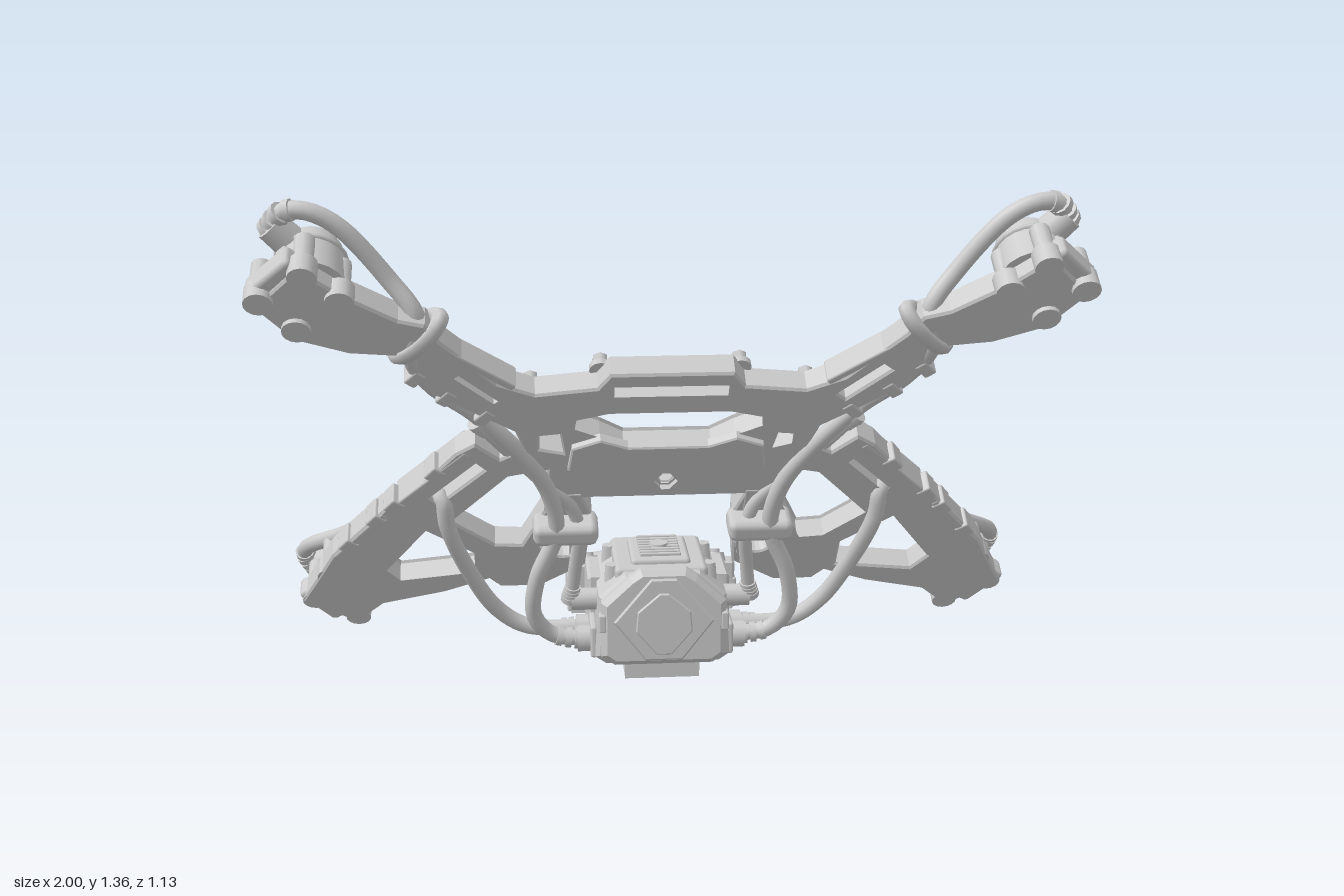
import * as THREE from 'three';
import { RoundedBoxGeometry } from 'three/addons/geometries/RoundedBoxGeometry.js';

const V = (x, y, z) => new THREE.Vector3(x, y, z);
const grey = new THREE.MeshStandardMaterial({ color: 0xcccccc, side: THREE.DoubleSide });
const TILT = 0.611, C = Math.cos(TILT), S = Math.sin(TILT);

// front-on height y, at depth d from the tilted plane -> height along that plane
const up = (y, d = 0) => (y - 0.5 + S * d) / C;

function add(parent, name, geo, pos = [0, 0, 0], rot = [0, 0, 0], scale = [1, 1, 1]) {
  const m = new THREE.Mesh(geo, grey);
  m.name = name;
  m.position.set(...pos);
  m.rotation.set(...rot);
  m.scale.set(...scale);
  parent.add(m);
  return m;
}
const box = (x, y, z, r = 0.008) => new RoundedBoxGeometry(x, y, z, 1, r);
const path = (pts, K = THREE.Shape) => new K(pts.map(([x, y]) => new THREE.Vector2(x, y)));
const mirror = half => [...half, ...half.map(([x, y]) => [-x, y]).reverse()];
const extrude = (shape, depth, bevel = 0) => new THREE.ExtrudeGeometry(shape, {
  depth, bevelEnabled: bevel > 0, bevelSize: bevel, bevelThickness: bevel, bevelSegments: 1, bevelOffset: -bevel, curveSegments: 10 });

// cylinder between two points
function rod(parent, name, a, b, r, sides = 14, r2 = r) {
  const d = b.clone().sub(a);
  const m = add(parent, name, new THREE.CylinderGeometry(r2, r, d.length(), sides));
  m.position.copy(a).addScaledVector(d, 0.5);
  m.quaternion.setFromUnitVectors(V(0, 1, 0), d.normalize());
}
// bar lying on the tilted plane between two front-on points
function bar(parent, name, s, [x0, y0], [x1, y1], w, d0, d1) {
  const a = V(s * x0, up(y0), 0), b = V(s * x1, up(y1), 0), d = b.clone().sub(a), mid = a.clone().add(b).multiplyScalar(0.5);
  add(parent, name, box(d.length(), w, d1 - d0, 0.005), [mid.x, mid.y, (d0 + d1) / 2], [0, 0, Math.atan2(d.y, d.x)]);
}
// hose with ribbed cuffs at both ends
function hose(parent, name, s, pts, r = 0.022) {
  const curve = new THREE.CatmullRomCurve3(pts.map(([x, y, z]) => V(s * x, y, z)), false, 'centripetal');
  add(parent, name, new THREE.TubeGeometry(curve, 80, r, 10));
  for (const t of [0, 1]) for (let i = 0; i < 4; i++) {
    const u = Math.abs(t - i * 0.014), p = curve.getPointAt(u), q = curve.getTangentAt(u).multiplyScalar(0.008);
    rod(parent, 'hoseRib', p.clone().sub(q), p.clone().add(q), r + 0.01 - i * 0.002, 12);
  }
}

function buildFrame(root) {
  const f = new THREE.Group();
  f.name = 'tiltedFrame';
  f.position.y = 0.5;
  f.rotation.x = TILT;
  root.add(f);
  const onPlane = (pts, d = 0) => pts.map(([x, y]) => [x, up(y, d)]);

  // cross-shaped main plate with cut-outs
  const plate = path(onPlane(mirror([
    [0.15, 0.935], [0.18, 0.895], [0.33, 0.88], [0.42, 0.915], [0.55, 1.04], [0.58, 1.085], [0.64, 1.1], [0.76, 1.17], [0.85, 1.24],
    [0.96, 1.14], [0.88, 1.05], [0.76, 1.01], [0.65, 1.0], [0.61, 0.94], [0.58, 0.89], [0.47, 0.82], [0.38, 0.765], [0.36, 0.71],
    [0.42, 0.68], [0.48, 0.73], [0.53, 0.7], [0.66, 0.56], [0.71, 0.53], [0.87, 0.36], [0.91, 0.29], [0.97, 0.19], [0.83, 0.1],
    [0.75, 0.17], [0.58, 0.21], [0.46, 0.255], [0.43, 0.225], [0.32, 0.225], [0.2, 0.3], [0.185, 0.48], [0.21, 0.545]])));
  const diamond = mirror([[0.012, 0.645], [0.035, 0.615], [0.012, 0.585]]);
  const holes = [
    mirror([[0.145, 0.905], [0.145, 0.865]]),
    mirror([[0.15, 0.825], [0.235, 0.805], [0.24, 0.77], [0.17, 0.74], [0.11, 0.705]]),
    diamond];
  const sideHoles = [
    [[0.41, 0.865], [0.43, 0.85], [0.53, 0.935], [0.51, 0.95]],
    [[0.27, 0.755], [0.32, 0.75], [0.32, 0.71], [0.26, 0.695]],
    [[0.46, 0.645], [0.48, 0.665], [0.6, 0.555], [0.58, 0.535]],
    [[0.3, 0.64], [0.4, 0.62], [0.55, 0.47], [0.44, 0.385], [0.37, 0.38], [0.31, 0.5]],
    [[0.49, 0.28], [0.7, 0.255], [0.74, 0.3], [0.62, 0.45], [0.49, 0.36]]];
  for (const h of sideHoles) holes.push(h, h.map(([x, y]) => [-x, y]));
  for (const h of holes) plate.holes.push(path(onPlane(h), THREE.Path));
  for (const s of [-1, 1]) {
    const ring = new THREE.Path();
    ring.absarc(s * 0.26, up(0.375), 0.04, 0, Math.PI * 2);
    plate.holes.push(ring);
  }
  add(f, 'mainPlate', extrude(plate, 0.055, 0.006), [0, 0, -0.028]);

  // second layer on the front of the hub
  const hub = path(onPlane(mirror([[0.1, 0.7], [0.17, 0.725], [0.24, 0.7], [0.25, 0.63], [0.21, 0.57], [0.16, 0.54]]), 0.045));
  hub.holes.push(path(onPlane(diamond), THREE.Path));
  add(f, 'hubPlate', extrude(hub, 0.022, 0.004), [0, 0, 0.025]);
  bar(f, 'topHandleBar', 1, [-0.145, 0.922], [0.145, 0.922], 0.022, -0.034, 0.032);

  for (const s of [-1, 1]) {
    // raised rails and small clips along the arms
    bar(f, 'armRail', s, [0.5, 0.7], [0.68, 0.535], 0.022, -0.045, 0.035);
    bar(f, 'armRail', s, [0.72, 0.5], [0.86, 0.35], 0.022, -0.04, 0.035);
    bar(f, 'armRail', s, [0.38, 0.9], [0.52, 0.995], 0.02, -0.033, 0.033);
    bar(f, 'armRail', s, [0.42, 0.805], [0.56, 0.895], 0.02, -0.033, 0.033);
    bar(f, 'innerStrut', s, [0.23, 0.56], [0.225, 0.33], 0.036, -0.036, 0.036);
    for (const [x, y] of [[0.57, 0.65], [0.68, 0.545], [0.73, 0.495], [0.81, 0.41]])
      bar(f, 'armClip', s, [x, y], [x + 0.028, y - 0.031], 0.04, -0.025, 0.038);
    for (const [x, y] of [[0.44, 0.805], [0.53, 0.865], [0.6, 0.925]])
      bar(f, 'armClip', s, [x, y], [x + 0.025, y + 0.018], 0.05, -0.02, 0.036);
    // bolts on the back
    for (const [x, y] of [[0.17, 0.9], [0.34, 0.85], [0.37, 0.79], [0.34, 0.67], [0.6, 1.04], [0.13, 0.6],
      [0.2, 0.67], [0.45, 0.69], [0.64, 0.51], [0.78, 0.38], [0.36, 0.27], [0.32, 0.31], [0.46, 0.31]]) {
      add(f, 'bolt', new THREE.CylinderGeometry(0.017, 0.02, 0.04, 6), [s * x, up(y), -0.045], [Math.PI / 2, 0, 0]);
      add(f, 'washer', new THREE.CylinderGeometry(0.028, 0.028, 0.016, 12), [s * x, up(y), -0.03], [Math.PI / 2, 0, 0]);
    }
    // pivot ring in each strut foot
    const ring = new THREE.Shape().absarc(0, 0, 0.062, 0, Math.PI * 2);
    ring.holes.push(new THREE.Path().absarc(0, 0, 0.04, 0, Math.PI * 2));
    add(f, 'pivotRing', extrude(ring, 0.085, 0.005), [s * 0.26, up(0.375), -0.05]);
    // collar around the upper arm
    add(f, 'armCollar', new THREE.TorusGeometry(0.068, 0.02, 8, 24), [s * 0.6, up(1.03), 0], [0, Math.PI / 2, s * 0.75, 'ZYX'], [0.62, 1.15, 1]);

    for (const top of [true, false]) buildThruster(f, s, top);
  }
}

// end unit: bracket, front studs, rear dome with elbow stub
function buildThruster(f, s, top) {
  const g = new THREE.Group();
  g.name = top ? 'upperEndUnit' : 'lowerEndUnit';
  f.add(g);
  const cx = 0.86, cy = top ? 1.155 : 0.195, front = top ? 0.045 : 0.03;
  const turn = s * (top ? 0.78 : -0.62);
  add(g, 'bracket', box(0.19, 0.15, 0.06, 0.012), [s * cx, up(cy), -0.005], [0, 0, turn]);
  const studs = top ? [[0.945, 1.135], [0.87, 1.06], [0.84, 1.2], [0.765, 1.135]] : [[0.935, 0.17], [0.825, 0.1], [0.885, 0.26], [0.775, 0.2]];
  for (const [x, y] of studs) {
    const Y = up(y, front);
    add(g, 'stud', new THREE.CylinderGeometry(0.034, 0.034, 0.05, 14), [s * x, Y, front - 0.025], [Math.PI / 2, 0, 0]);
    add(g, 'studPin', new THREE.CylinderGeometry(0.024, 0.024, 0.09, 10), [s * x, Y, front - 0.08], [Math.PI / 2, 0, 0]);
    bar(g, 'studLink', s, [x, y + 0.02], [cx, cy], 0.05, -0.035, 0.02);
  }
  const dx = s * 0.835, dy = up(cy);
  add(g, 'domeBase', new THREE.CylinderGeometry(0.08, 0.086, 0.09, 20), [dx, dy, -0.055], [-Math.PI / 2, 0, 0]);
  add(g, 'dome', new THREE.SphereGeometry(0.078, 20, 8, 0, Math.PI * 2, 0, Math.PI / 2), [dx, dy, -0.1], [-Math.PI / 2, 0, 0]);
  add(g, 'domeRim', new THREE.TorusGeometry(0.078, 0.008, 6, 20), [dx, dy, -0.1]);
  const tip = top ? V(s * 0.92, up(1.3, -0.13), -0.13) : V(s * 0.955, up(0.21, -0.15), -0.15);
  rod(g, 'elbowStub', V(dx, dy, -0.1), tip, 0.042, 12, 0.038);
  add(g, 'domeBand', box(0.18, 0.035, 0.06), [dx, dy, -0.05], [0, 0, turn]);
}

function buildBody(root) {
  const b = new THREE.Group();
  b.name = 'body';
  root.add(b);
  // main housing
  const hull = path(mirror([[0.1, 0.3], [0.17, 0.24], [0.18, 0.07], [0.15, 0.05]]));
  add(b, 'housing', extrude(hull, 0.3, 0.012), [0, 0, -0.28]);
  add(b, 'lid', box(0.25, 0.04, 0.27, 0.015), [0, 0.29, -0.135]);
  add(b, 'ventPlate', box(0.16, 0.03, 0.2, 0.012), [0, 0.31, -0.125]);
  for (let i = 0; i < 8; i++) add(b, 'ventSlat', box(0.11, 0.016, 0.011, 0.003), [0, 0.325, -0.2 + i * 0.021]);
  add(b, 'ventCap', new THREE.CylinderGeometry(0.025, 0.028, 0.022, 16), [0, 0.327, -0.125]);

  // faceted front cover with a raised gem
  const cover = path(mirror([[0.06, 0.325], [0.09, 0.305], [0.165, 0.235], [0.165, 0.085], [0.13, 0.06]]));
  add(b, 'frontCover', extrude(cover, 0.022, 0.015), [0, 0, 0.035]);
  add(b, 'frontDiamond', extrude(path(mirror([[0.035, 0.305], [0.135, 0.185], [0.05, 0.075]])), 0.004, 0.006), [0, 0, 0.067]);
  const gem = mirror([[0.012, 0.265], [0.07, 0.215], [0.075, 0.16], [0.02, 0.095]]);
  const ring = path(gem);
  ring.holes.push(path(gem.map(([x, y]) => [x * 0.6, 0.18 + (y - 0.18) * 0.65]), THREE.Path));
  add(b, 'frontGem', extrude(ring, 0.004, 0.003), [0, 0, 0.077]);

  // stepped wedge at the rear, drawn as (distance back, height)
  const neck = path([[0.1, 0.05], [0.4, 0.05], [0.4, 0.19], [0.27, 0.25], [0.1, 0.25]]);
  add(b, 'rearNeck', extrude(neck, 0.37, 0.008).translate(0, 0, -0.185), [0, 0, 0], [0, Math.PI / 2, 0]);
  const tray = path([[0.355, 0.05], [0.55, 0.05], [0.555, 0.06], [0.555, 0.13], [0.535, 0.147], [0.37, 0.205], [0.355, 0.19]]);
  add(b, 'rearTray', extrude(tray, 0.46, 0.008).translate(0, 0, -0.23), [0, 0, 0], [0, Math.PI / 2, 0]);
  const slope = z => 0.202 + (z + 0.38) * 0.35;
  for (const [x, z, rx, rz] of [[0.125, -0.425, 0.085, 0.055], [-0.125, -0.425, 0.085, 0.055], [0, -0.38, 0.09, 0.052], [0, -0.47, 0.09, 0.052]])
    add(b, 'rearLobe', new THREE.SphereGeometry(1, 20, 12), [x, slope(z), z], [-0.34, 0, 0], [rx, 0.026, rz]);
  for (const s of [-1, 1]) {
    add(b, 'sideRail', box(0.025, 0.09, 0.19, 0.006), [s * 0.23, 0.1, -0.45]);
    for (const z of [-0.51, -0.345]) {
      add(b, 'trayScrew', new THREE.CylinderGeometry(0.025, 0.03, 0.025, 14), [s * 0.18, slope(z), z], [-0.34, 0, 0]);
      add(b, 'screwHead', new THREE.CylinderGeometry(0.014, 0.014, 0.03, 6), [s * 0.18, slope(z) + 0.008, z], [-0.34, 0, 0]);
    }
    // rear socket with pins
    const frame = path([[-0.08, -0.035], [0.08, -0.035], [0.08, 0.035], [-0.08, 0.035]]);
    frame.holes.push(path([[-0.065, -0.02], [0.065, -0.02], [0.065, 0.02], [-0.065, 0.02]], THREE.Path));
    add(b, 'rearSocket', extrude(frame, 0.012), [s * 0.11, 0.095, -0.56]);
    for (let i = 0; i < 5; i++) add(b, 'socketPin', box(0.01, 0.022, 0.012, 0.002), [s * 0.11 + (i - 2) * 0.023, 0.1, -0.555]);
    // side ports
    for (const z of [-0.04, -0.12]) rod(b, 'hosePort', V(s * 0.16, 0.1, z), V(s * 0.225, 0.1, z), 0.036);
    add(b, 'portPlate', box(0.02, 0.09, 0.18), [s * 0.182, 0.105, -0.08]);
    rod(b, 'sideKnob', V(s * 0.14, 0.205, -0.06), V(s * 0.24, 0.205, -0.06), 0.03);
    for (const z of [-0.05, -0.21]) add(b, 'lidBolt', new THREE.CylinderGeometry(0.02, 0.024, 0.05, 6), [s * 0.13, 0.28, z]);
    add(b, 'coverTab', box(0.02, 0.05, 0.035, 0.005), [s * 0.162, 0.18, 0.055]);
    add(b, 'footSocket', box(0.015, 0.028, 0.045, 0.004), [s * 0.1, 0.022, -0.1]);
  }

  // base foot
  const foot = path([[-0.1, 0.01], [0.1, 0.01], [0.1, -0.17], [0.06, -0.21], [-0.06, -0.21], [-0.1, -0.17]]);
  add(b, 'foot', extrude(foot, 0.052), [0, 0.052, 0], [Math.PI / 2, 0, 0]);
}

export function createModel() {
  const root = new THREE.Group();
  root.name = 'fourArmFrame';
  buildFrame(root);
  buildBody(root);
  for (const s of [-1, 1]) {
    // long hoses from the end units to the body
    hose(root, 'upperHose', s, [[0.92, 1.29, 0.39], [0.89, 1.33, 0.42], [0.84, 1.335, 0.43], [0.77, 1.3, 0.425], [0.66, 1.17, 0.4], [0.6, 1.08, 0.405],
      [0.62, 0.99, 0.365], [0.575, 0.885, 0.27], [0.48, 0.8, 0.21], [0.37, 0.68, 0.16], [0.3, 0.56, 0.1], [0.28, 0.43, 0.05], [0.33, 0.3, 0.025],
      [0.34, 0.18, -0.01], [0.29, 0.115, -0.035], [0.2, 0.1, -0.04]]);
    hose(root, 'lowerHose', s, [[0.95, 0.21, -0.375], [0.975, 0.25, -0.36], [0.96, 0.29, -0.31], [0.85, 0.36, -0.2], [0.72, 0.46, -0.09], [0.6, 0.53, 0.01],
      [0.57, 0.53, 0.05], [0.56, 0.45, 0.035], [0.51, 0.3, -0.04], [0.44, 0.17, -0.1], [0.36, 0.11, -0.12], [0.2, 0.1, -0.12]]);
    hose(root, 'innerHose', s, [[0.47, 0.77, 0.19], [0.42, 0.71, 0.16], [0.33, 0.6, 0.09], [0.24, 0.5, 0.05], [0.22, 0.42, 0.02], [0.23, 0.3, -0.03], [0.24, 0.21, -0.06]], 0.018);
    add(root, 'hoseClamp', box(0.17, 0.06, 0.1, 0.02), [s * 0.255, 0.435, 0.025], [0.3, 0, 0]);
  }
  return root;
}
